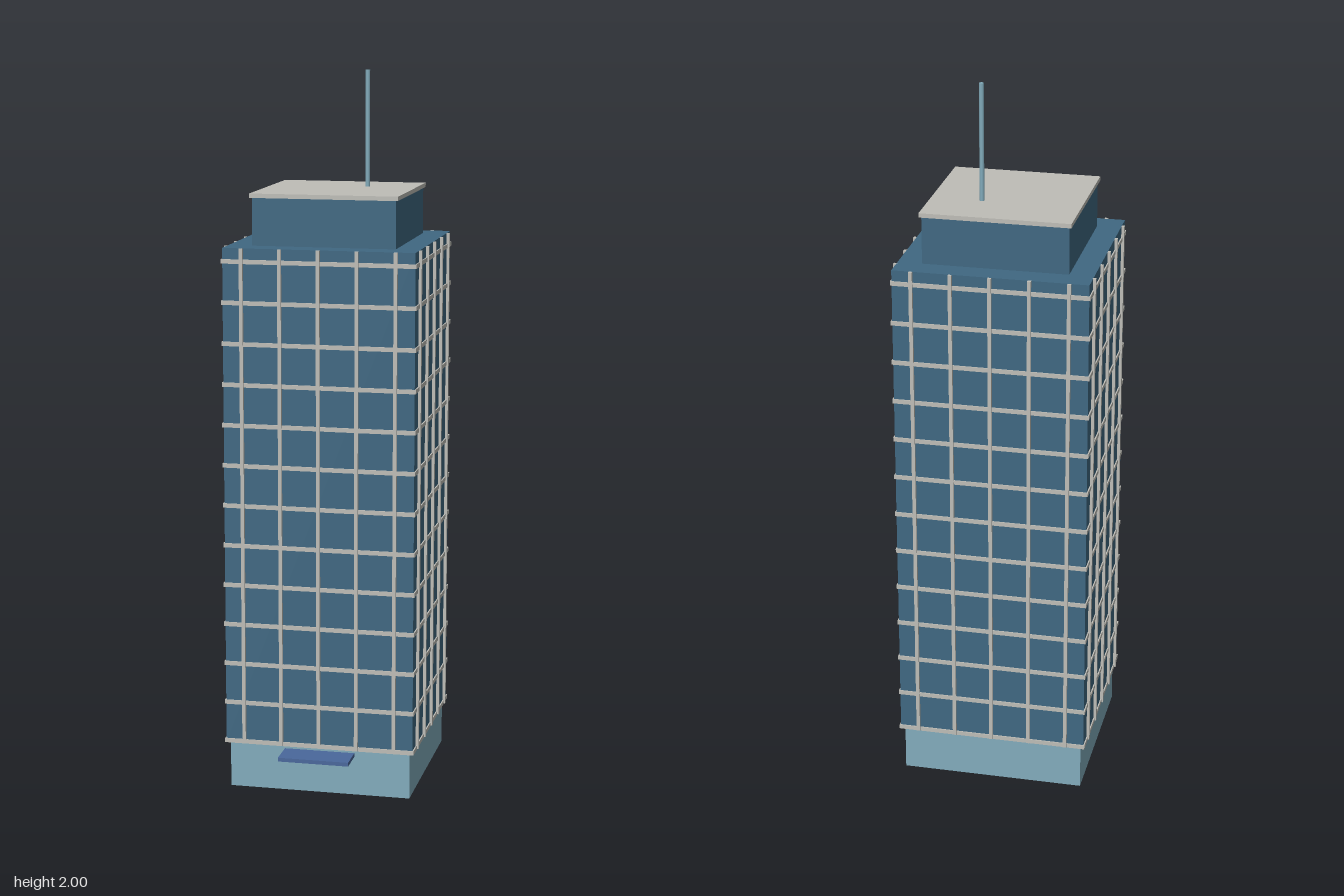
import * as THREE from 'three';

const mat = (name, color) => {
  const m = new THREE.MeshStandardMaterial({ color });
  m.name = name;
  return m;
};

export function createModel() {
  const glass = mat('blue glass', 0x406882);
  const pale = mat('pale blue', 0x82acbc);
  const stone = mat('light stone', 0xbebdb7);
  const awning = mat('canopy blue', 0x4a689c);

  const model = new THREE.Group();
  model.name = 'officeTower';
  const tower = new THREE.Group();
  tower.name = 'tower';
  tower.position.z = -0.0335; // leaves room for the canopy in front
  model.add(tower);

  // Box given by its bottom and top heights
  const box = (name, material, w, d, y0, y1, x = 0, z = 0, parent = tower) => {
    const mesh = new THREE.Mesh(new THREE.BoxGeometry(w, y1 - y0, d), material);
    mesh.name = name;
    mesh.position.set(x, (y0 + y1) / 2, z);
    parent.add(mesh);
    return mesh;
  };

  // Main volumes
  box('podium', pale, 0.514, 0.514, 0, 0.133);
  box('shaft', glass, 0.534, 0.534, 0.133, 1.533);
  box('crown', glass, 0.4, 0.4, 1.533, 1.666);
  box('roofSlab', stone, 0.412, 0.412, 1.664, 1.676);

  // Floor bands
  const bands = new THREE.Group();
  bands.name = 'floorBands';
  tower.add(bands);
  for (let i = 0; i <= 12; i++) {
    const y = 0.137 + i * 0.1133;
    box('floorBand', stone, 0.541, 0.541, y - 0.006, y + 0.006, 0, 0, bands);
  }

  // Vertical fins, five on each facade
  for (let side = 0; side < 4; side++) {
    const facade = new THREE.Group();
    facade.name = 'facadeFins';
    facade.rotation.y = side * Math.PI / 2;
    for (let i = -2; i <= 2; i++) {
      box('fin', stone, 0.01, 0.01, 0.133, 1.533, i * 0.107, 0.27, facade);
    }
    tower.add(facade);
  }

  // Entrance canopy
  box('canopy', awning, 0.2, 0.134, 0.11, 0.121, 0, 0.2735);

  // Rooftop mast
  const mast = new THREE.Mesh(new THREE.CylinderGeometry(0.0067, 0.0067, 0.334, 8), pale);
  mast.name = 'mast';
  mast.position.set(0.066, 1.833, -0.0665);
  tower.add(mast);

  return model;
}
